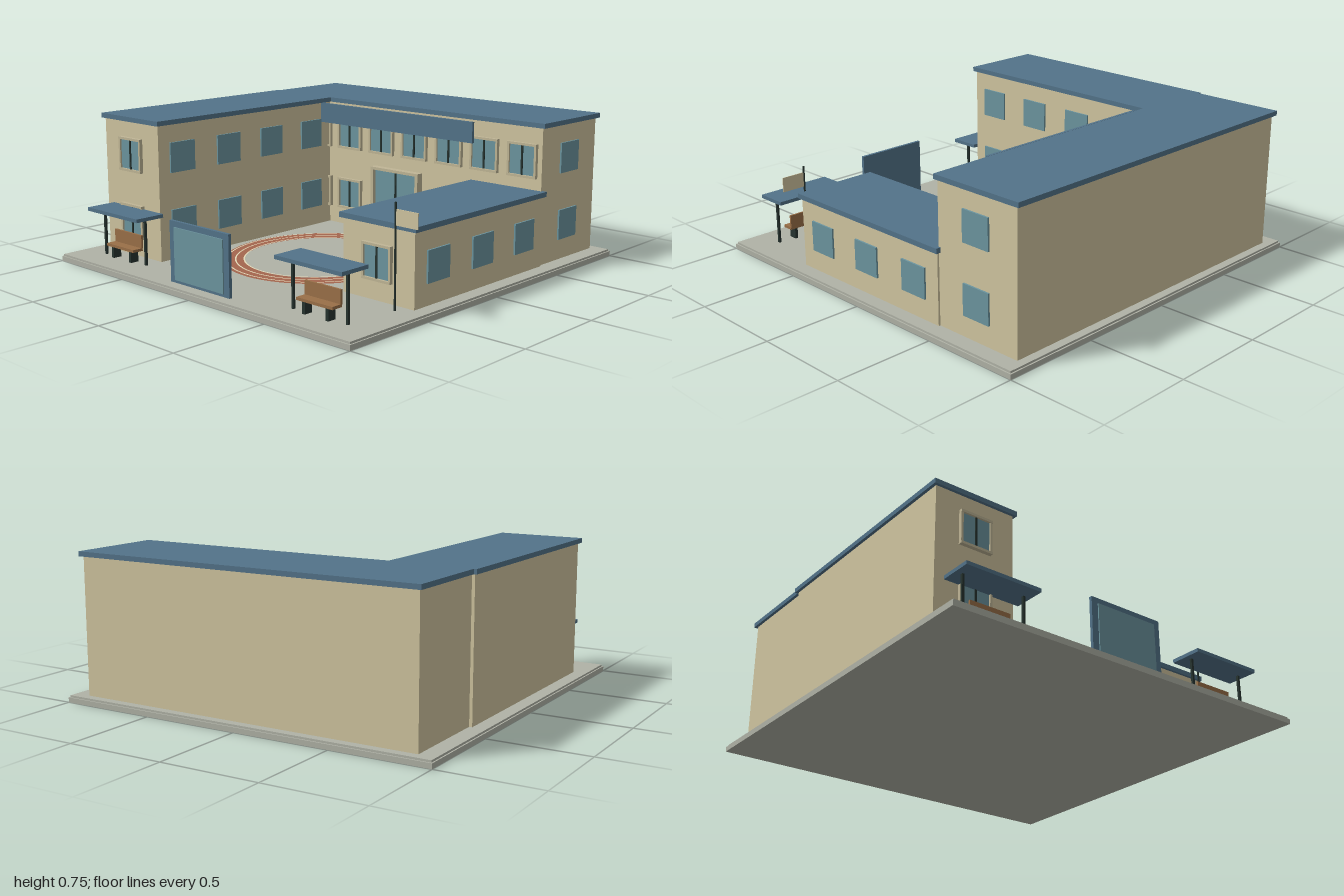
import * as THREE from 'three';

const mat = (name, color, side = THREE.FrontSide) => {
  const m = new THREE.MeshStandardMaterial({ color, side });
  m.name = name;
  return m;
};

export function createModel() {
  const wall = mat('wall cream', 0xd0c5a0);
  const trim = mat('trim beige', 0xc0b696);
  const blue = mat('roof blue', 0x537389);
  const glass = mat('window glass', 0x6c959f);
  const paving = mat('paving grey', 0xb0b2a6);
  const clay = mat('track clay', 0xa4664e);
  const chalk = mat('track line', 0xe2d8b8);
  const wood = mat('bench wood', 0x9a7048);
  const metal = mat('dark metal', 0x26332f);

  const G = 0.035; // ground level
  const root = new THREE.Group();
  root.name = 'schoolCampus';

  // Box given by its limits on each axis
  const box = (parent, name, m, x0, x1, y0, y1, z0, z1) => {
    const mesh = new THREE.Mesh(new THREE.BoxGeometry(x1 - x0, y1 - y0, z1 - z0), m);
    mesh.position.set((x0 + x1) / 2, (y0 + y1) / 2, (z0 + z1) / 2);
    mesh.name = name;
    parent.add(mesh);
    return mesh;
  };
  const group = (name, x = 0, y = 0, z = 0, parent = root) => {
    const g = new THREE.Group();
    g.name = name;
    g.position.set(x, y, z);
    parent.add(g);
    return g;
  };

  // Ground slab with a small step at the rim
  box(root, 'groundEdge', paving, -1, 1, 0, 0.025, -1, 1);
  box(root, 'ground', paving, -0.993, 0.993, 0.025, G, -0.993, 0.993);

  // Three wings around the courtyard
  box(root, 'backWingWalls', wall, -0.91, 0.91, G, 0.722, -0.95, -0.475);
  box(root, 'backWingRoof', blue, -0.925, 0.925, 0.722, 0.746, -0.968, -0.465);
  box(root, 'leftWingWalls', wall, -0.925, -0.505, G, 0.722, -0.476, 0.75);
  box(root, 'leftWingRoof', blue, -0.94, -0.49, 0.722, 0.746, -0.49, 0.765);
  box(root, 'rightWingWalls', wall, 0.5, 0.92, G, 0.386, -0.476, 0.5);
  box(root, 'rightWingRoof', blue, 0.485, 0.935, 0.386, 0.411, -0.487, 0.513);
  box(root, 'courtyardFascia', blue, -0.5, 0.545, 0.615, 0.722, -0.411, -0.396);

  // Framed two-pane windows on the front-facing walls
  const framedWindow = (x, y, z) => {
    const g = group('framedWindow', x, y, z);
    for (const s of [-1, 1]) {
      box(g, 'windowJamb', trim, s * 0.079 - 0.006, s * 0.079 + 0.006, -0.085, 0.085, 0, 0.018);
      box(g, 'windowRail', trim, -0.085, 0.085, s * 0.08 - 0.006, s * 0.08 + 0.006, 0, 0.02);
    }
    box(g, 'windowGlass', glass, -0.074, 0.074, -0.075, 0.075, 0, 0.009);
    box(g, 'windowMullion', metal, -0.005, 0.005, -0.075, 0.075, 0, 0.014);
  };
  const LOW = 0.215, HIGH = 0.555;
  for (const y of [LOW, HIGH]) framedWindow(-0.715, y, 0.75);
  framedWindow(0.71, LOW, 0.5);
  for (const x of [-0.57, -0.345, -0.115, 0.115, 0.345, 0.57, 0.8]) framedWindow(x, HIGH, -0.475);
  for (const x of [-0.57, -0.345, 0.345, 0.57]) framedWindow(x, LOW, -0.475);

  // Plain windows on the walls facing the model's left
  const sideWindow = (x, y, z) =>
    box(root, 'sideWindow', glass, x, x + 0.009, y - 0.076, y + 0.076, z - 0.078, z + 0.078);
  for (const y of [LOW, HIGH]) {
    for (const z of [0.602, 0.293, -0.013, -0.318]) sideWindow(-0.505, y, z);
    sideWindow(0.91, y, -0.71);
  }
  for (const z of [0.34, 0.013, -0.318]) sideWindow(0.92, LOW, z);

  // Main entrance
  const door = group('entrance', 0, 0, -0.475);
  for (const s of [-1, 1]) {
    box(door, 'doorJamb', trim, s * 0.155 - 0.01, s * 0.155 + 0.01, G, 0.4, 0, 0.04);
  }
  box(door, 'doorLintel', trim, -0.165, 0.165, 0.385, 0.4, 0, 0.04);
  box(door, 'doorGlass', glass, -0.145, 0.145, G, 0.385, 0, 0.02);
  box(door, 'doorMullion', metal, -0.005, 0.005, G, 0.385, 0, 0.026);
  box(door, 'doorStep', paving, -0.165, 0.165, G, 0.045, 0, 0.06);

  // Oval running track: clay ring and lane lines
  const ring = (name, m, inner, outer, y) => {
    const mesh = new THREE.Mesh(new THREE.RingGeometry(inner, outer, 72), m);
    mesh.rotation.x = -Math.PI / 2;
    mesh.scale.set(0.94, 1, 1);
    mesh.position.set(0.01, y, 0.143);
    mesh.name = name;
    root.add(mesh);
  };
  ring('trackSurface', clay, 0.394, 0.502, G + 0.004);
  for (const r of [0.395, 0.439, 0.484]) ring('laneLine', chalk, r - 0.004, r + 0.004, G + 0.007);

  // Front sign panel
  box(root, 'signFrame', blue, -0.205, 0.205, G, 0.333, 0.918, 0.934);
  box(root, 'signPanel', glass, -0.17, 0.17, 0.05, 0.305, 0.934, 0.94);

  // Shelters with a bench each
  for (const s of [-1, 1]) {
    const g = group(s < 0 ? 'rightShelter' : 'leftShelter', s * 0.677);
    box(g, 'shelterRoof', blue, -0.199, 0.199, 0.268, 0.286, 0.753, 0.916);
    for (const x of [-0.162, 0.162]) {
      box(g, 'shelterPost', metal, x - 0.006, x + 0.006, G, 0.268, 0.832, 0.844);
    }
    const bench = group('bench', -0.003, 0, 0, g);
    box(bench, 'benchSeat', wood, -0.107, 0.107, 0.093, 0.107, 0.813, 0.872);
    box(bench, 'benchBack', wood, -0.107, 0.107, 0.105, 0.172, 0.81, 0.82);
    for (const x of [-0.07, 0.07]) {
      box(bench, 'benchLeg', metal, x - 0.008, x + 0.008, G, 0.093, 0.82, 0.865);
    }
  }

  // Flagpole with a plain flag
  const pole = new THREE.Mesh(new THREE.CylinderGeometry(0.005, 0.005, 0.485, 10), metal);
  pole.position.set(0.86, G + 0.2425, 0.56);
  pole.name = 'flagpole';
  root.add(pole);
  box(root, 'flag', wall, 0.863, 0.985, 0.417, 0.49, 0.558, 0.562);

  return root;
}
